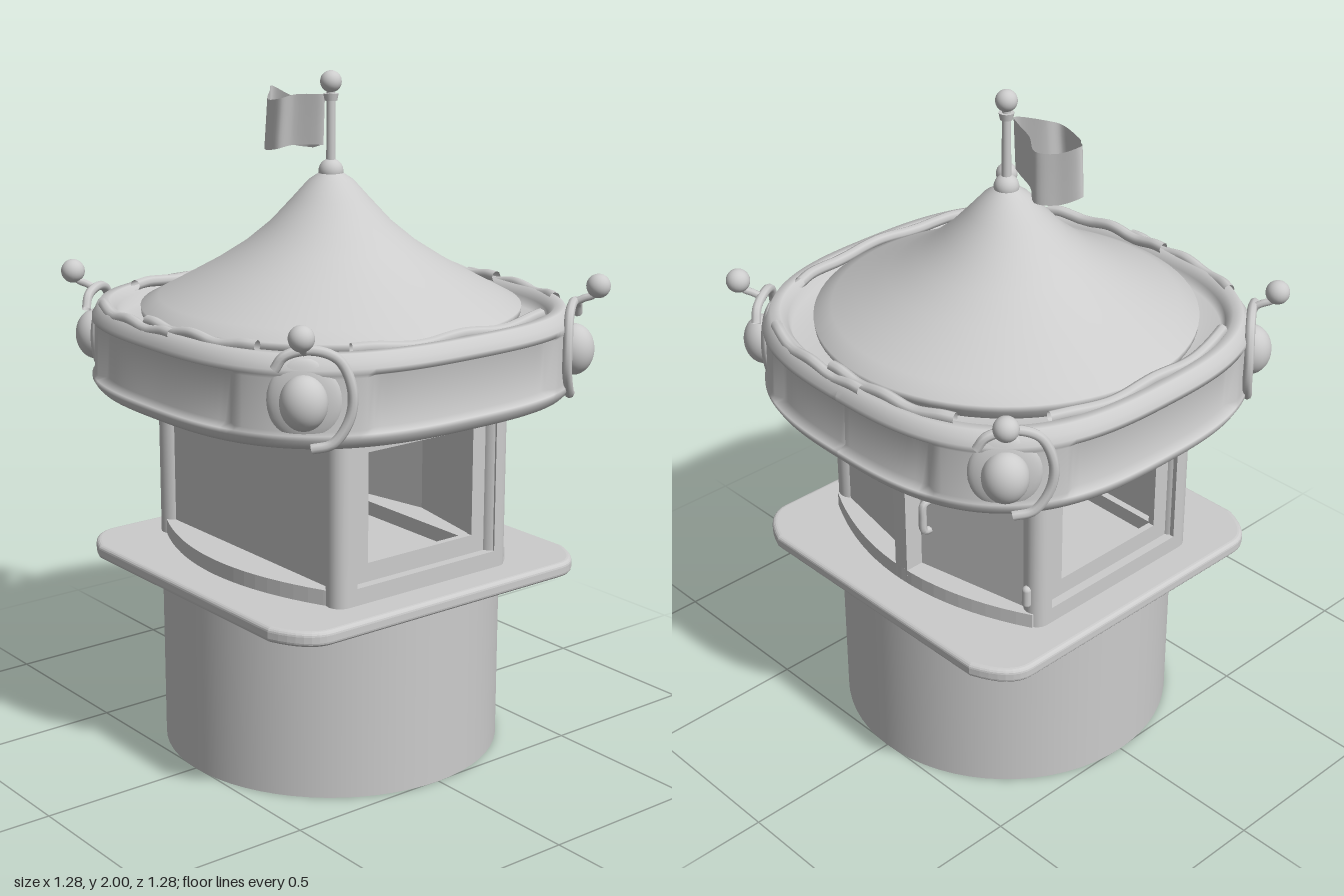
import * as THREE from 'three';

const stone = new THREE.MeshStandardMaterial({ color: 0xcccccc, side: THREE.DoubleSide });
stone.name = 'pale grey';

function add(parent, name, geometry, x = 0, y = 0, z = 0) {
  const m = new THREE.Mesh(geometry, stone);
  m.name = name;
  m.position.set(x, y, z);
  parent.add(m);
  return m;
}
const v2 = (list) => list.map(([x, y]) => new THREE.Vector2(x, y));
const v3 = (list) => list.map((p) => new THREE.Vector3(...p));

// Soft square plan of the canopy: point at angle a, scaled by s
function plan(a, s = 1) {
  const c = Math.cos(a), d = Math.sin(a), n = 2.8;
  const r = 0.635 * s / Math.pow(Math.abs(c) ** n + Math.abs(d) ** n, 1 / n);
  return [r * c, r * d];
}

// Grid surface from rows of points
function grid(cols, rows, fn) {
  const pos = [], idx = [];
  for (let i = 0; i <= cols; i++) for (let j = 0; j <= rows; j++) pos.push(...fn(i, j));
  const w = rows + 1;
  for (let i = 0; i < cols; i++) for (let j = 0; j < rows; j++) {
    const a = i * w + j;
    idx.push(a, a + 1, a + w, a + 1, a + w + 1, a + w);
  }
  const g = new THREE.BufferGeometry();
  g.setAttribute('position', new THREE.Float32BufferAttribute(pos, 3));
  g.setIndex(idx);
  g.computeVertexNormals();
  return g;
}

// Rectangular frame in the xy plane, [x0, x1, y0, y1] outside and inside
function frame(o, h, depth) {
  const rect = (P, [a, b, c, d]) => new P(v2([[a, c], [b, c], [b, d], [a, d]]));
  const s = rect(THREE.Shape, o);
  s.holes.push(rect(THREE.Path, h));
  return new THREE.ExtrudeGeometry(s, { depth, bevelEnabled: false });
}

// Flat wall piece standing between two plan points
function wall(parent, name, a, b, y0, y1, thick) {
  const dx = b[0] - a[0], dz = b[1] - a[1];
  const m = add(parent, name, new THREE.BoxGeometry(Math.hypot(dx, dz), y1 - y0, thick),
    (a[0] + b[0]) / 2, (y0 + y1) / 2, (a[1] + b[1]) / 2);
  m.rotation.y = -Math.atan2(dz, dx);
}

// Bowed rail along one side of the cabin, side is +1 or -1
function bowedRail(parent, name, side, y0, y1) {
  const s = new THREE.Shape();
  s.moveTo(side * 0.27, -0.43);
  s.lineTo(side * 0.31, -0.43);
  s.quadraticCurveTo(side * 0.54, 0, side * 0.31, 0.43);
  s.lineTo(side * 0.27, 0.43);
  const geo = new THREE.ExtrudeGeometry(s, { depth: y1 - y0, bevelEnabled: false, curveSegments: 20 });
  geo.rotateX(Math.PI / 2);
  add(parent, name, geo, 0, y1, 0);
}

function buildBase(g) {
  add(g, 'drumBase', new THREE.CylinderGeometry(0.505, 0.505, 0.545, 64), 0, 0.2725, 0);
  const w = 0.537, c = 0.425, k = 0.495;
  const s = new THREE.Shape();
  s.moveTo(-c, -w);
  s.lineTo(c, -w); s.quadraticCurveTo(k, -w, w, -c);
  s.lineTo(w, c); s.quadraticCurveTo(k, w, c, w);
  s.lineTo(-c, w); s.quadraticCurveTo(-k, w, -w, c);
  s.lineTo(-w, -c); s.quadraticCurveTo(-k, -w, -c, -w);
  const ledge = new THREE.ExtrudeGeometry(s, {
    depth: 0.018, bevelThickness: 0.013, bevelSize: 0.015, bevelSegments: 4, curveSegments: 8 });
  ledge.rotateX(-Math.PI / 2);
  add(g, 'counterLedge', ledge, 0, 0.554, 0);
}

function buildCabin(g) {
  const top = 1.125;
  for (const s of [1, -1]) {
    // Front and back window walls with rounded corner posts
    add(g, 'windowWall', frame([-0.29, 0.27, 0.58, top], [-0.26, 0.25, 0.635, 1.06], 0.04), 0, 0, s * 0.43 - 0.02);
    add(g, 'windowFrame', frame([-0.27, 0.26, 0.62, 1.07], [-0.2, 0.185, 0.69, 1.01], 0.02), 0, 0, s * 0.412 - 0.01);
    for (const x of [-0.29, 0.27])
      add(g, 'cornerPost', new THREE.CylinderGeometry(0.04, 0.04, top - 0.58, 20), x, (top + 0.58) / 2, s * 0.41);
    // Double doors set back behind the bowed rails
    const a = [0.285, s * 0.42], b = [0.365, 0];
    const at = (t) => [a[0] + (b[0] - a[0]) * t, a[1] + (b[1] - a[1]) * t];
    wall(g, 'doorPanel', a, b, 0.585, top, 0.012);
    const [hx, hz] = at(0.87);
    const handle = new THREE.CatmullRomCurve3(v3([
      [0, -0.05, 0], [0.025, -0.045, 0], [0.03, 0, 0], [0.025, 0.045, 0], [0, 0.05, 0]]));
    add(g, 'doorHandle', new THREE.TubeGeometry(handle, 16, 0.012, 8), hx, 0.81, hz);
    // Rails on the left and right sides
    const side = s > 0 ? 'right' : 'left';
    bowedRail(g, side + 'BottomRail', s, 0.575, 0.63);
    bowedRail(g, side + 'TopRail', s, 1.06, top);
  }
  for (const y of [0.685, 1.0])
    add(g, 'doorHinge', new THREE.CapsuleGeometry(0.014, 0.045, 4, 10), 0.312, y, -0.41);
  add(g, 'doorPost', new THREE.BoxGeometry(0.065, 0.52, 0.05), 0.392, 0.84, 0);
  wall(g, 'leftWall', [-0.3, -0.42], [-0.3, 0.42], 0.58, top, 0.015);
}

function buildCanopy(g) {
  // Profile rows: [scale, height, share of the panel recess]
  const rows = [[0.62, 1.125, 0], [0.87, 1.125, 0], [0.92, 1.115, 0], [0.945, 1.09, 0], [0.975, 1.085, 0], [0.99, 1.095, 0],
    [1.005, 1.112, 0], [1.005, 1.125, 0], [0.995, 1.135, 1], [0.99, 1.275, 1], [1, 1.285, 0], [1, 1.3, 0],
    [0.985, 1.315, 0], [0.965, 1.338, 0], [0.925, 1.338, 0], [0.895, 1.315, 0], [0.88, 1.285, 0], [0.72, 1.285, 0]];
  const cols = 192;
  add(g, 'canopyBand', grid(cols, rows.length - 1, (i, j) => {
    const a = i / cols * Math.PI * 2;
    const off = Math.abs(a - Math.round(a / (Math.PI / 2)) * Math.PI / 2);
    const recess = 1 - THREE.MathUtils.smoothstep(off, 0.48, 0.53);
    const [x, z] = plan(a, rows[j][0] - 0.035 * recess * rows[j][2]);
    return [x, rows[j][1], z];
  }));
  add(g, 'ceiling', new THREE.CylinderGeometry(0.46, 0.46, 0.02, 48), 0, 1.125, 0);

  // Rounded trim laid along the top edge
  const trim = (mid, half, s, y) => {
    const pts = [];
    for (let i = 0; i <= 12; i++) {
      const t = i / 6 - 1, [x, z] = plan(mid + half * t, s);
      pts.push([x, y + 0.006 * Math.cos(t * 7), z]);
    }
    add(g, 'canopyTrim', new THREE.TubeGeometry(new THREE.CatmullRomCurve3(v3(pts)), 36, 0.017, 8));
  };
  for (const q of [0, Math.PI]) {
    trim(q + Math.PI / 2, 0.58, 0.9, 1.335);
    trim(q + 0.24, 0.36, 0.95, 1.33);
    trim(q - 0.24, 0.36, 0.925, 1.34);
  }

  // Corner lamps with scrolls and balls
  for (const sx of [1, -1]) for (const sz of [1, -1]) {
    const corner = new THREE.Group();
    corner.name = 'cornerLamp';
    corner.position.set(sx * 0.472, 1.215, sz * 0.49);
    corner.rotation.y = Math.atan2(sx * 0.9, sz);
    g.add(corner);
    const plate = add(corner, 'lampPlate', new THREE.SphereGeometry(1, 32, 16));
    plate.scale.set(0.1, 0.115, 0.03);
    const lamp = add(corner, 'lampGlobe', new THREE.SphereGeometry(1, 32, 20), 0, 0, 0.025);
    lamp.scale.set(0.064, 0.075, 0.06);
    const k = -sx * sz; // scroll opens away from the front or back face
    const scroll = new THREE.CatmullRomCurve3(v3([
      [k * 0.02, -0.125, 0.02], [k * 0.075, -0.11, 0.02], [k * 0.12, -0.04, 0.015], [k * 0.125, 0.04, 0.015],
      [k * 0.09, 0.115, 0.015], [k * 0.02, 0.14, 0.02], [-k * 0.05, 0.125, 0.03], [-k * 0.075, 0.09, 0.03]]));
    add(corner, 'lampScroll', new THREE.TubeGeometry(scroll, 48, 0.014, 8));
    const stem = new THREE.CatmullRomCurve3(v3([
      [0, 0.135, 0.02], [0, 0.15, 0.05], [0, 0.16, 0.075], [0, 0.185, 0.088]]));
    add(corner, 'ballStem', new THREE.TubeGeometry(stem, 16, 0.011, 8));
    add(corner, 'cornerBall', new THREE.SphereGeometry(0.035, 20, 14), 0, 0.187, 0.09);
  }
}

function buildRoof(g) {
  const profile = v2([[0.53, 1.285], [0.55, 1.315], [0.552, 1.335], [0.5, 1.362], [0.43, 1.4], [0.34, 1.45],
    [0.25, 1.508], [0.175, 1.57], [0.11, 1.64], [0.065, 1.69], [0.035, 1.71]]);
  add(g, 'tentRoof', new THREE.LatheGeometry(profile, 72));
  add(g, 'poleCollar', new THREE.SphereGeometry(0.036, 24, 14), 0, 1.715, 0);
  add(g, 'flagPole', new THREE.CylinderGeometry(0.012, 0.014, 0.23, 16), 0, 1.835, 0);
  add(g, 'poleRing', new THREE.CylinderGeometry(0.022, 0.018, 0.02, 16), 0, 1.925, 0);
  add(g, 'poleBall', new THREE.SphereGeometry(0.031, 24, 16), 0, 1.969, 0);

  // Waving flag folded into a closed loop
  const loop = new THREE.CatmullRomCurve3(v3([
    [0, 1.93, -0.03], [-0.05, 1.927, -0.1], [-0.082, 1.915, -0.13], [-0.068, 1.905, -0.21], [-0.02, 1.922, -0.265],
    [0.01, 1.932, -0.295], [0.045, 1.905, -0.245], [0.072, 1.9, -0.185], [0.03, 1.91, -0.12], [0.015, 1.925, -0.06]]), true);
  add(g, 'flag', grid(60, 4, (i, j) => {
    const p = loop.getPoint((i % 60) / 60), t = j / 4;
    return [p.x * (1 + 0.1 * t), p.y - t * 0.145, p.z - 0.008 * t];
  }));
}

export function createModel() {
  const model = new THREE.Group();
  model.name = 'kiosk';
  for (const [name, build] of [['base', buildBase], ['cabin', buildCabin], ['canopy', buildCanopy], ['roof', buildRoof]]) {
    const part = new THREE.Group();
    part.name = name;
    build(part);
    model.add(part);
  }
  return model;
}
